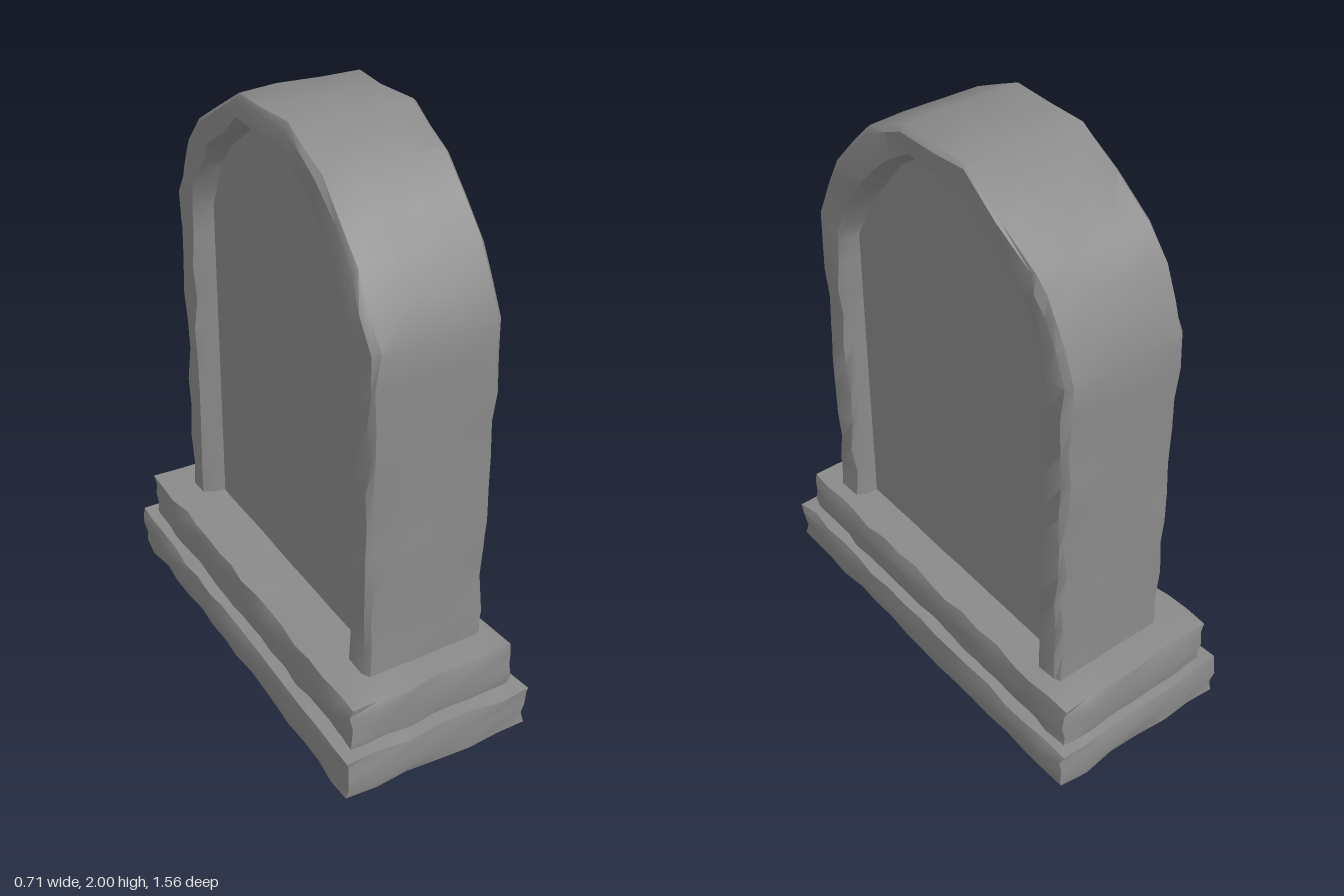
import * as THREE from 'three';
import { mergeVertices, toCreasedNormals } from 'three/addons/utils/BufferGeometryUtils.js';

const CENTER_X = 0.03, HALF = 0.22, RECESS = 0.075;

// arch outlines as [z, y], paired point by point
const OUTER = [[0.622, 0.3], [0.62, 0.9], [0.626, 1.49], [0.51, 1.7], [0.32, 1.91], [0.127, 1.99],
  [-0.17, 1.99], [-0.47, 1.8], [-0.545, 1.7], [-0.63, 1.5], [-0.628, 0.9], [-0.63, 0.3]];
const INNER = [[0.495, 0.3], [0.5, 0.9], [0.5, 1.42], [0.42, 1.57], [0.24, 1.79], [0.1, 1.885],
  [-0.17, 1.88], [-0.36, 1.74], [-0.44, 1.64], [-0.51, 1.48], [-0.51, 0.9], [-0.51, 0.3]];

// repeatable wobble in -1..1 from a position
function wobble(x, y, z, k) {
  const s = Math.sin(x * 127.1 + y * 311.7 + z * 74.7 + k * 53.3) * 43758.5453;
  return 2 * (s - Math.floor(s)) - 1;
}

// split the long straight runs more finely than the arch facets
function subdivide(points) {
  const out = [];
  for (let i = 0; i < points.length - 1; i++) {
    const straight = i < 2 || i > points.length - 4;
    const n = straight ? 5 : 2;
    for (let k = 0; k < n; k++) {
      const t = k / n;
      out.push([0, 1].map(a => points[i][a] * (1 - t) + points[i + 1][a] * t));
    }
  }
  out.push(points[points.length - 1]);
  return out;
}

// arched slab with a raised rim on both broad sides
function slabGeometry(outer, inner) {
  // [blend outer to inner, x offset, roughness]
  const half = [[1, HALF - RECESS, 0], [0.92, HALF - 0.03, 0.006], [0.8, HALF - 0.003, 0.007],
    [0.15, HALF, 0.006], [0, HALF - 0.018, 0.008], [0, 0.08, 0.004]];
  const profile = [...half, ...half.slice().reverse().map(([t, x, r]) => [t, -x, r])];
  const pos = [], index = [], m = profile.length;
  outer.forEach((o, i) => {
    profile.forEach(([t, x, r], j) => {
      const z = o[0] + (inner[i][0] - o[0]) * t;
      const y = o[1] + (inner[i][1] - o[1]) * t;
      pos.push(CENTER_X + x + r * wobble(x, y, z, 1),
        Math.min(2, y + r * wobble(x, y, z, 2)), z + r * wobble(x, y, z, 3));
      if (i < outer.length - 1 && j < m - 1) {
        const a = i * m + j, b = a + m;
        index.push(a, b, a + 1, b, b + 1, a + 1);
      }
    });
  });
  const g = new THREE.BufferGeometry();
  g.setAttribute('position', new THREE.Float32BufferAttribute(pos, 3));
  g.setIndex(index);
  return toCreasedNormals(g, 0.7);
}

// block of worn stone with chipped edges
function wornBlock(w, h, d, flatBottom) {
  let g = new THREE.BoxGeometry(w, h, d, 6, 4, 16);
  g.deleteAttribute('normal');
  g.deleteAttribute('uv');
  g = mergeVertices(g);
  const p = g.attributes.position, size = [w, h, d];
  for (let i = 0; i < p.count; i++) {
    const v = [p.getX(i), p.getY(i), p.getZ(i)];
    const onFace = v.map((c, a) => Math.abs(Math.abs(c) - size[a] / 2) < 1e-4);
    const edge = onFace.filter(Boolean).length > 1;
    const bottom = onFace[1] && v[1] < 0;
    const moved = v.map((c, a) => {
      if (!onFace[a] || (a === 1 && bottom && flatBottom)) return c;
      const n = wobble(...v, a);
      return c - Math.sign(c) * (edge ? 0.009 + 0.009 * n : 0.003 * n);
    });
    p.setXYZ(i, ...moved);
  }
  return toCreasedNormals(g, 0.7);
}

export function createModel() {
  const group = new THREE.Group();
  const stone = new THREE.MeshStandardMaterial({ color: 0x8a8a8a });
  stone.name = 'grey stone';
  const add = (name, geometry, x = 0, y = 0, z = 0) => {
    const mesh = new THREE.Mesh(geometry, stone);
    mesh.name = name;
    mesh.position.set(x, y, z);
    group.add(mesh);
  };

  // stepped base
  add('lowerStep', wornBlock(0.7, 0.16, 1.55, true), 0, 0.08, 0);
  add('upperStep', wornBlock(0.62, 0.18, 1.47, true), 0.002, 0.23, -0.008);

  // arched headstone
  const outer = subdivide(OUTER), inner = subdivide(INNER);
  add('archedSlab', slabGeometry(outer, inner));

  // sunken panels on the two broad sides
  for (const side of [1, -1]) {
    const shape = new THREE.Shape(inner.map(([z, y]) => new THREE.Vector2(-side * z, y)));
    const panel = new THREE.ShapeGeometry(shape).rotateY(side * Math.PI / 2);
    add(side > 0 ? 'leftPanel' : 'rightPanel', panel, CENTER_X + side * (HALF - RECESS), 0, 0);
  }
  return group;
}
